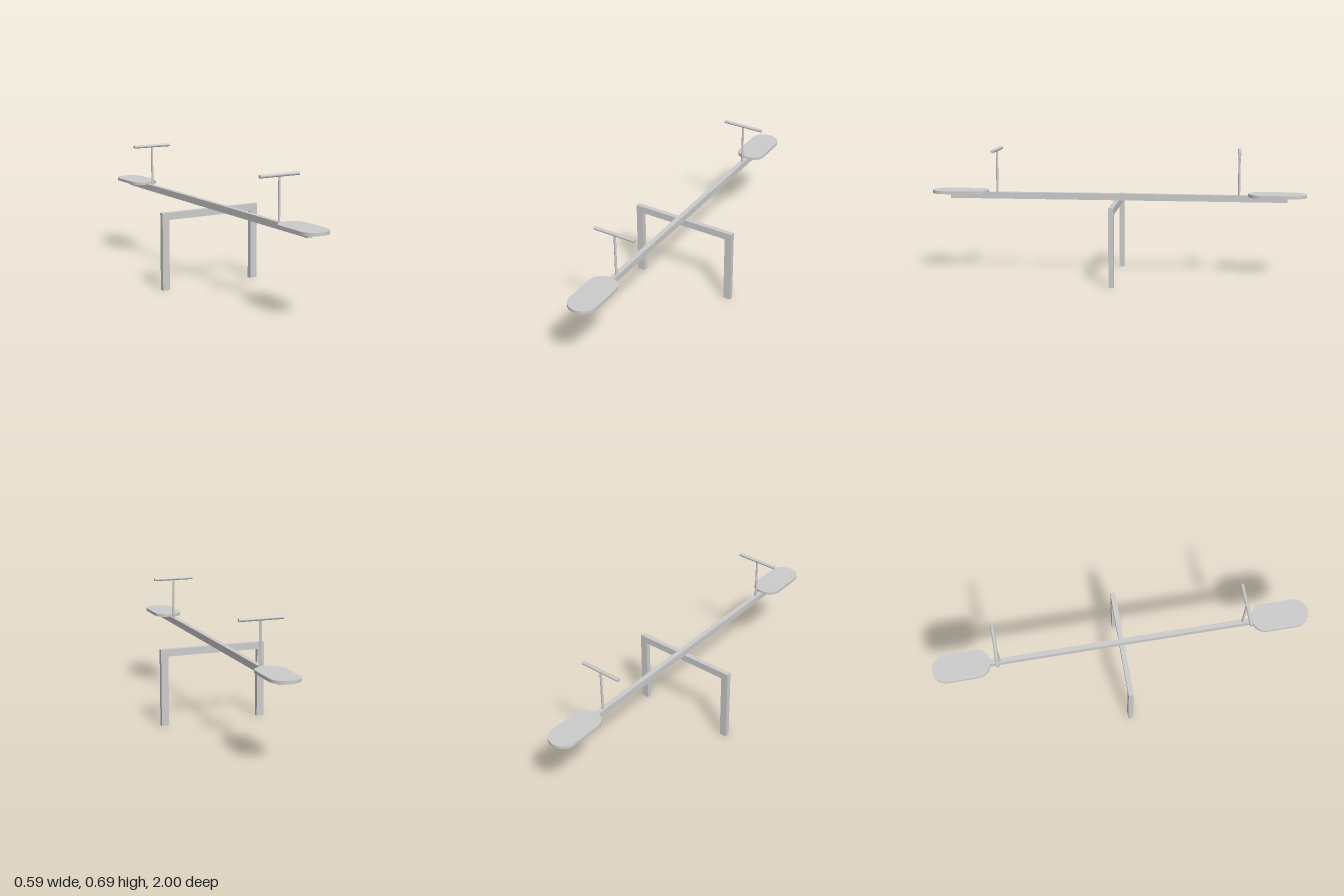
import * as THREE from 'three';

const grey = new THREE.MeshStandardMaterial({ color: 0xcccccc });

function add(parent, name, geometry, x, y, z) {
  const mesh = new THREE.Mesh(geometry, grey);
  mesh.name = name;
  mesh.position.set(x, y, z);
  parent.add(mesh);
  return mesh;
}

// Support frame: two legs and a crossbar as one portal outline
function portalGeometry() {
  const o = 0.293, i = 0.253, top = 0.414, under = 0.376, depth = 0.026;
  const shape = new THREE.Shape(
    [[-o, 0], [-i, 0], [-i, under], [i, under], [i, 0], [o, 0], [o, top], [-o, top]]
      .map(([x, y]) => new THREE.Vector2(x, y)));
  return new THREE.ExtrudeGeometry(shape, { depth, bevelEnabled: false })
    .translate(0, 0, -depth / 2);
}

// Beam with a very slight rise along the middle of its top
function beamGeometry() {
  const geometry = new THREE.BoxGeometry(0.026, 0.033, 1.8, 1, 1, 12);
  const p = geometry.attributes.position;
  for (let i = 0; i < p.count; i++) {
    const t = p.getZ(i) / 0.9;
    if (p.getY(i) > 0) p.setY(i, p.getY(i) + 0.003 * (1 - t * t));
  }
  geometry.computeVertexNormals();
  return geometry;
}

// Seat: flat board with rounded ends, lying from z = 0.695 to z = 1
function seatGeometry() {
  const w = 0.077, thickness = 0.016;
  const shape = new THREE.Shape();
  shape.moveTo(w, -0.925);
  shape.lineTo(w, -0.765);
  shape.absellipse(0, -0.765, w, 0.07, 0, Math.PI, false, 0);
  shape.lineTo(-w, -0.925);
  shape.absellipse(0, -0.925, w, 0.075, Math.PI, Math.PI * 2, false, 0);
  return new THREE.ExtrudeGeometry(shape, { depth: thickness, bevelEnabled: false, curveSegments: 10 })
    .rotateX(-Math.PI / 2);
}

export function createModel() {
  const model = new THREE.Group();
  model.name = 'seesaw';

  add(model, 'supportFrame', portalGeometry(), 0, 0, 0);
  add(model, 'beam', beamGeometry(), 0, 0.4305, 0);

  // Seat and T-shaped handle at each end
  for (const [name, turn] of [['frontEnd', 0], ['backEnd', Math.PI]]) {
    const end = new THREE.Group();
    end.name = name;
    end.rotation.y = turn;
    add(end, 'seat', seatGeometry(), 0, 0.442, 0);
    add(end, 'handlePost', new THREE.CylinderGeometry(0.006, 0.006, 0.237, 16), 0, 0.5585, 0.647);
    add(end, 'handleGrip', new THREE.CylinderGeometry(0.009, 0.009, 0.23, 16).rotateZ(Math.PI / 2), 0, 0.677, 0.647);
    model.add(end);
  }
  return model;
}
